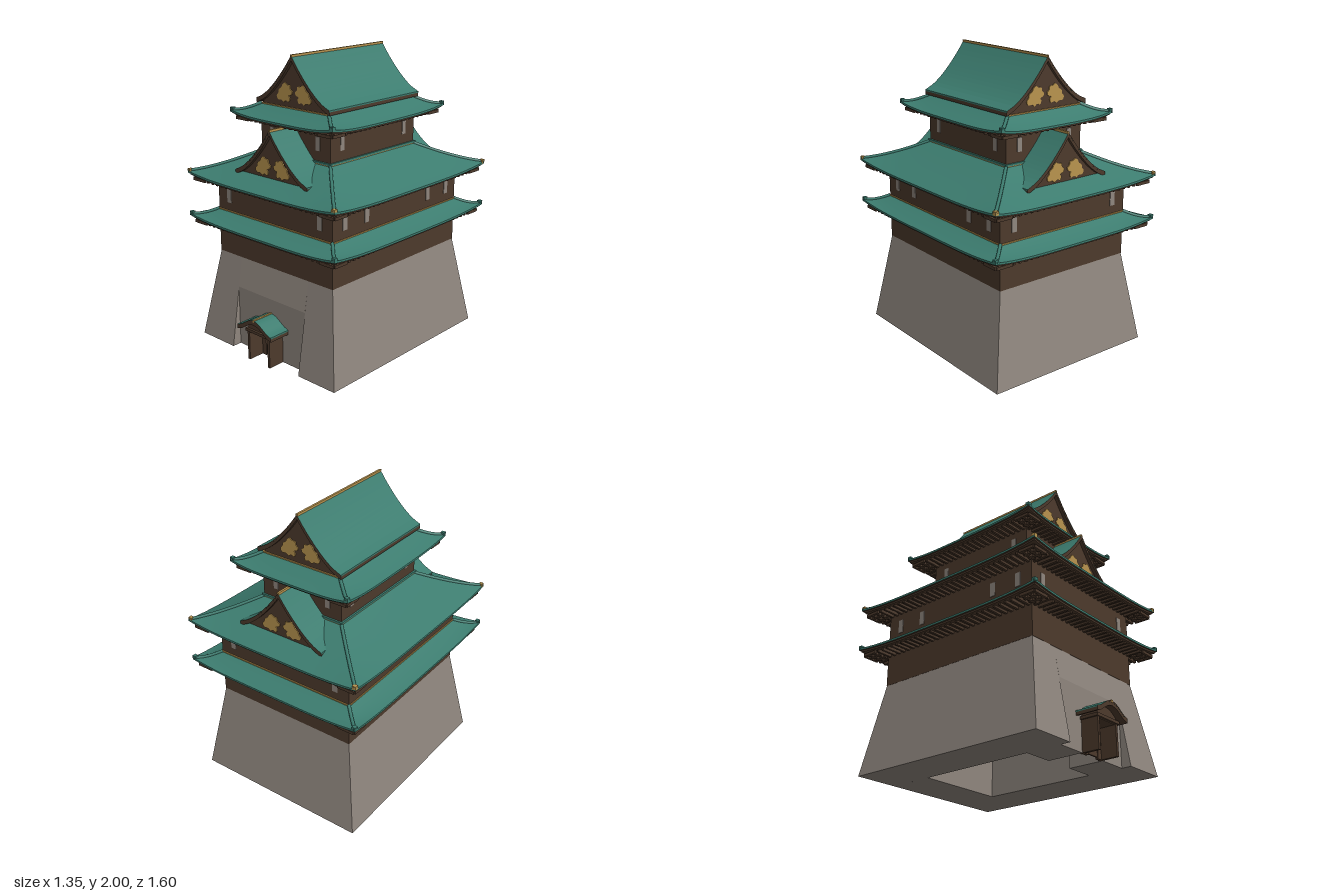
import * as THREE from 'three';

const mat = (name, color) => Object.assign(new THREE.MeshStandardMaterial({ color }), { name });

export function createModel() {
  const stone = mat('stone', 0x8f867e), wood = mat('dark wood', 0x4d3a2c);
  const tile = mat('green tile', 0x3c7c6f), gold = mat('gold', 0xb8934e);
  const model = new THREE.Group();
  const keep = new THREE.Group();
  keep.name = 'castleKeep';
  keep.position.z = -0.022;
  model.add(keep);

  const add = (name, geo, material, parent = keep) => {
    const m = new THREE.Mesh(geo, material);
    m.name = name;
    parent.add(m);
    return m;
  };
  // Box given by its min and max on each axis
  const box = (name, material, x0, x1, y0, y1, z0, z1) => {
    const g = new THREE.BoxGeometry(x1 - x0, y1 - y0, z1 - z0);
    return add(name, g.translate((x0 + x1) / 2, (y0 + y1) / 2, (z0 + z1) / 2), material);
  };
  // Tapered block: bottom and top rectangles as [x0, x1, z0, z1]
  const block = (name, y0, y1, bottom, top) => {
    const g = new THREE.BoxGeometry(1, 1, 1).toNonIndexed(), p = g.attributes.position;
    for (let i = 0; i < p.count; i++) {
      const up = p.getY(i) > 0, r = up ? top : bottom;
      p.setXYZ(i, r[p.getX(i) > 0 ? 1 : 0], up ? y1 : y0, r[p.getZ(i) > 0 ? 3 : 2]);
    }
    g.computeVertexNormals();
    return add(name, g, stone);
  };

  // Hollow battered stone base with a front recess and a passage
  const H = 0.63, R = 0.313, zf = 0.412, zr = 0.663;
  block('baseLeft', 0, H, [R, 0.625, -0.731, 0.731], [R, 0.52, -0.628, 0.628]);
  block('baseRight', 0, H, [-0.625, -R, -0.731, 0.731], [-0.52, -R, -0.628, 0.628]);
  block('baseBack', 0, H, [-R, R, -0.731, -zf], [-R, R, -0.628, -zf]);
  block('baseFrontUpper', 0.42, H, [-R, R, zf, zr], [-R, R, zf, 0.628]);
  box('recessWallLeft', stone, 0.105, R, 0, 0.42, zf, zr);
  box('recessWallRight', stone, -R, -0.105, 0, 0.42, zf, zr);
  box('recessWallOverPassage', stone, -0.105, 0.105, 0.21, 0.42, zf, zr);

  // Timber storeys
  box('lowerStorey', wood, -0.522, 0.522, 0.627, 1.19, -0.63, 0.63);
  box('upperStorey', wood, -0.31, 0.31, 1.2, 1.6, -0.42, 0.42);

  // Windows as thin plates on all four sides
  const windows = (y0, y1, hx, hz, frontX, sideZ, w) => {
    for (const s of [-1, 1]) for (const e of [-1, 1]) {
      for (const x of frontX) box('window', stone, s * x - w, s * x + w, y0, y1, e * hz - 0.004, e * hz + 0.004);
      for (const z of sideZ) box('window', stone, e * hx - 0.004, e * hx + 0.004, y0, y1, s * z - w, s * z + w);
    }
  };
  windows(0.99, 1.085, 0.522, 0.63, [0.415], [0.315, 0.52], 0.02);
  windows(1.415, 1.505, 0.31, 0.42, [0.205], [0.31], 0.018);

  // Hipped skirt roof with upturned corners, soffit, rafters and hips
  function skirtRoof(name, { ix, iz, ox, oz, yTop, yEave, wallX, wallZ, curve, goldTips }) {
    const lift = 0.028, mix = THREE.MathUtils.lerp;
    const roofY = (u, t) => yTop + (yEave - yTop) * t * (1 + curve * (1 - t)) + lift * u ** 4 * t ** 3;
    const place = (side, u, hx, hz, y) => [
      [u * hx, y, hz], [hx, y, -u * hz], [-u * hx, y, -hz], [-hx, y, u * hz]][side];
    const at = (side, u, t, drop = 0) => place(side, u, mix(ix, ox, t), mix(iz, oz, t), roofY(u, t) - drop);
    const surface = (rows, smooth) => {
      const N = 20, pos = [], idx = [];
      for (let side = 0; side < 4; side++) {
        const start = pos.length / 3;
        rows.forEach((row) => {
          for (let i = 0; i <= N; i++) pos.push(...row(side, (i / N) * 2 - 1));
        });
        for (let j = 0; j < rows.length - 1; j++) for (let i = 0; i < N; i++) {
          const a = start + j * (N + 1) + i, b = a + N + 1;
          idx.push(a, b, b + 1, a, b + 1, a + 1);
        }
      }
      let g = new THREE.BufferGeometry();
      g.setAttribute('position', new THREE.Float32BufferAttribute(pos, 3));
      g.setIndex(idx);
      if (!smooth) g = g.toNonIndexed();
      g.computeVertexNormals();
      return g;
    };
    const tops = Array.from({ length: 9 }, (_, j) => (s, u) => at(s, u, j / 8));
    add(name + 'Tiles', surface(tops, true), tile);
    add(name + 'EaveEdge', surface([(s, u) => at(s, u, 1), (s, u) => at(s, u, 1, 0.014)]), tile);
    add(name + 'Soffit', surface([
      (s, u) => at(s, u, 1, 0.014),
      (s, u) => place(s, u, ox - 0.012, oz - 0.012, roofY(u, 1) - 0.014),
      (s, u) => place(s, u, ox - 0.012, oz - 0.012, roofY(u, 1) - 0.026),
      (s, u) => place(s, u, wallX - 0.01, wallZ - 0.01, yEave - 0.02)]), wood);

    // Rafters under the eaves
    const y = yEave - 0.026, end = 0.03;
    const rafters = (half, wall, edge, alongX) => {
      const n = Math.round((half * 2) / 0.045);
      for (let i = 0; i <= n; i++) for (const s of [-1, 1]) {
        const c = -half + (2 * half * i) / n, a = s > 0 ? wall : -edge, b = s > 0 ? edge : -wall;
        if (alongX) box('rafter', wood, c - 0.008, c + 0.008, y - 0.01, y + 0.01, a, b);
        else box('rafter', wood, a, b, y - 0.01, y + 0.01, c - 0.008, c + 0.008);
      }
    };
    rafters(ox - end, wallZ, oz - end, true);
    rafters(oz - end, wallX, ox - end, false);

    // Hip ridges and corner tips
    for (let side = 0; side < 4; side++) {
      const pts = Array.from({ length: 9 }, (_, j) => new THREE.Vector3(...at(side, 1, (j / 8) * 0.985)));
      add(name + 'Hip', new THREE.TubeGeometry(new THREE.CatmullRomCurve3(pts), 16, 0.012, 6), tile);
      const [x, ty, z] = at(side, 1, 1);
      const tip = new THREE.BoxGeometry(0.026, 0.026, 0.026);
      tip.translate(x - Math.sign(x) * 0.013, ty + 0.002, z - Math.sign(z) * 0.013);
      add(name + 'CornerTip', tip, goldTips ? gold : tile);
    }
    // Trim where the roof meets the wall
    box(name + 'Trim', gold, -ix - 0.008, ix + 0.008, yTop - 0.008, yTop + 0.003, -iz - 0.008, iz + 0.008);
  }
  skirtRoof('lowerRoof', { ix: 0.52, iz: 0.63, ox: 0.668, oz: 0.772, yTop: 0.932, yEave: 0.868, wallX: 0.52, wallZ: 0.63, curve: 0.3 });
  skirtRoof('middleRoof', { ix: 0.31, iz: 0.42, ox: 0.668, oz: 0.772, yTop: 1.335, yEave: 1.167, wallX: 0.52, wallZ: 0.63, curve: 0.14, goldTips: true });
  box('middleRoofCap', tile, -0.322, 0.322, 1.337, 1.35, -0.432, 0.432);
  skirtRoof('upperRoof', { ix: 0.3, iz: 0.42, ox: 0.458, oz: 0.562, yTop: 1.657, yEave: 1.583, wallX: 0.31, wallZ: 0.42, curve: 0.25 });

  // Roof slab following a mirrored half profile, running from z0 to z1
  const curveOf = (half) => {
    const v = half.map(([x, y]) => new THREE.Vector2(x, y));
    const right = new THREE.SplineCurve(v).getPoints(14);
    return [...right.slice(1).reverse().map((p) => new THREE.Vector2(-p.x, p.y)), ...right];
  };
  const extrude = (pts, z0, z1) => new THREE.ExtrudeGeometry(new THREE.Shape(pts),
    { depth: z1 - z0, bevelEnabled: false }).translate(0, 0, z0);
  const band = (line, top, low) => [
    ...line.map((p) => new THREE.Vector2(p.x, p.y - low)),
    ...[...line].reverse().map((p) => new THREE.Vector2(p.x, p.y - top))];
  const pitchedRoof = (name, half, z0, z1, thick) => {
    const line = curveOf(half), peak = half[0][1];
    add(name + 'Tiles', extrude(band(line, 0, 0.01), z0, z1), [wood, tile]);
    add(name + 'Boards', extrude(band(line, 0.01, thick), z0 + 0.001, z1 - 0.001), wood);
    box(name + 'Ridge', gold, -0.007, 0.007, peak - 0.012, peak + 0.005, z0, z1);
    return line;
  };

  // Gabled roof with timber gable ends and gold leaf ornaments
  const leaf = new THREE.SplineCurve([[0.012, 0.075], [0.03, 0.09], [0.035, 0.112], [0.06, 0.115], [0.078, 0.126],
    [0.1, 0.112], [0.11, 0.092], [0.132, 0.078], [0.138, 0.055], [0.153, 0.035], [0.14, 0.012], [0.11, 0.012],
    [0.09, 0], [0.07, 0.012], [0.045, 0.006], [0.035, 0.03], [0.045, 0.045], [0.02, 0.055], [0.012, 0.075]]
    .map(([x, y]) => new THREE.Vector2(x, y))).getPoints(70).slice(0, -1);
  function gable(name, peak, length) {
    const half = [[0, 0], [0.05, -0.068], [0.1, -0.128], [0.15, -0.182], [0.2, -0.229], [0.26, -0.274], [0.325, -0.305]]
      .map(([x, y]) => [x, peak + y]);
    const line = pitchedRoof(name, half, -length, length, 0.032);
    const wall = line.filter((p) => Math.abs(p.x) < 0.3).map((p) => new THREE.Vector2(p.x, p.y - 0.02));
    const low = peak - 0.335, wz = length - 0.025;
    wall.push(new THREE.Vector2(0.29, low), new THREE.Vector2(-0.29, low));
    add(name + 'GableWall', extrude(wall, -wz, wz), wood);
    for (const s of [-1, 1]) for (const e of [-1, 1]) {
      const pts = leaf.map((p) => new THREE.Vector2(s * p.x, p.y + peak - 0.307));
      add(name + 'Ornament', extrude(pts, e * wz - 0.006, e * wz + 0.006 - 0.003 * (1 - e) / 2), gold);
    }
  }
  gable('topRoof', 1.995, 0.445);
  gable('dormerRoof', 1.55, 0.647);

  // Gate in front of the passage
  pitchedRoof('gateRoof', [[0, 0.32], [0.04, 0.311], [0.08, 0.288], [0.12, 0.263], [0.158, 0.25]], zr, 0.822, 0.032);
  const gateFront = curveOf([[0, 0.3], [0.05, 0.285], [0.1, 0.25]]);
  gateFront.push(new THREE.Vector2(0.1, 0.2), new THREE.Vector2(-0.1, 0.2));
  add('gateHeader', extrude(gateFront, zr, 0.775), wood);
  box('gateBeam', wood, -0.115, 0.115, 0.205, 0.225, zr, 0.79);
  for (const s of [-1, 1]) {
    const side = (a, b) => (s > 0 ? [a, b] : [-b, -a]);
    box('gatePost', wood, ...side(0.085, 0.104), 0, 0.21, zr - 0.02, 0.782);
    box('gateJamb', wood, ...side(0.05, 0.09), 0, 0.21, zr - 0.015, zr + 0.005);
  }
  box('gateLintel', wood, -0.09, 0.09, 0.165, 0.21, zr - 0.015, zr + 0.005);
  box('gateLowerRail', wood, -0.055, 0.055, 0.01, 0.075, zr - 0.012, zr);
  return model;
}
